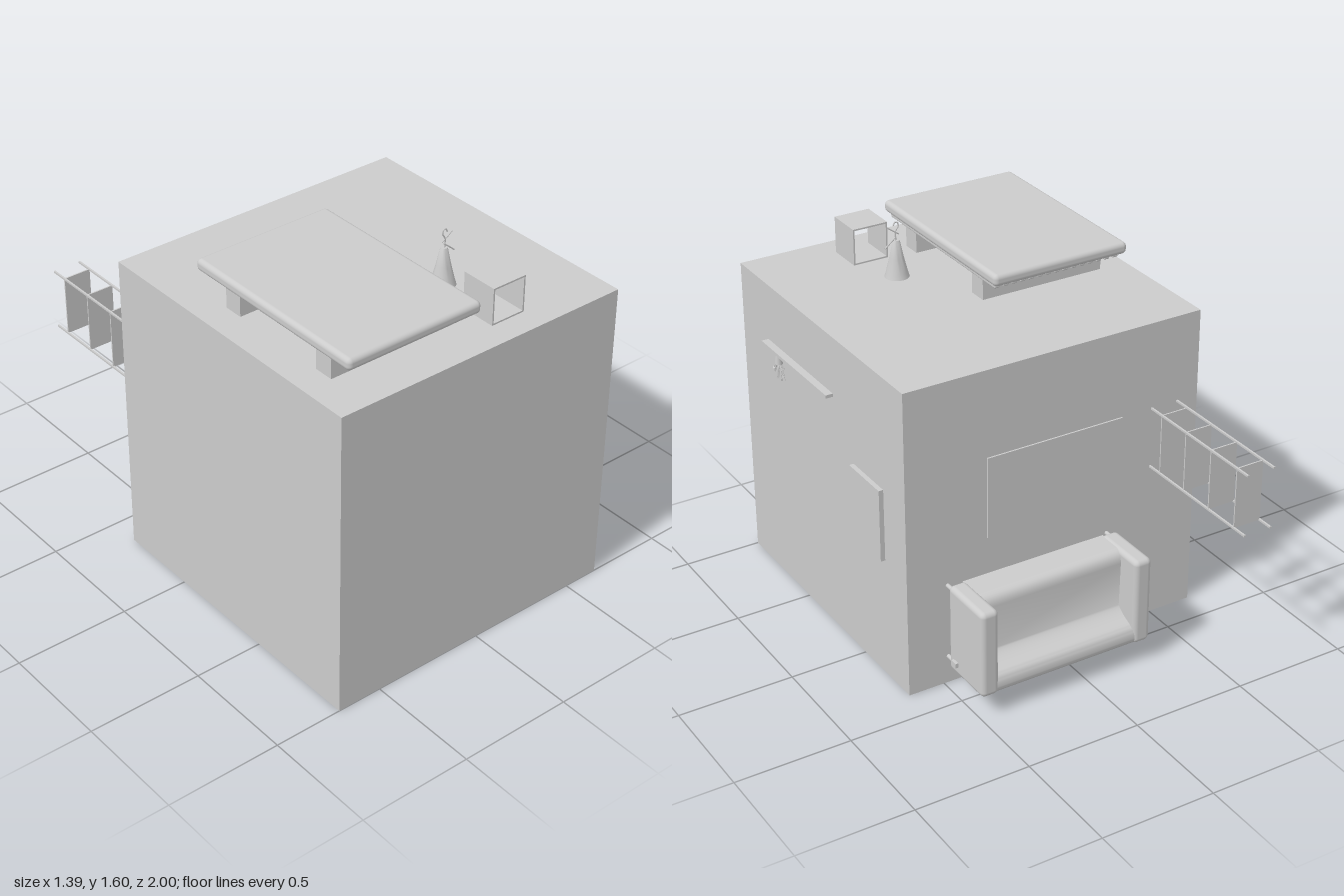
import * as THREE from 'three';
import { RoundedBoxGeometry } from 'three/addons/geometries/RoundedBoxGeometry.js';
import { toCreasedNormals } from 'three/addons/utils/BufferGeometryUtils.js';

const mat = new THREE.MeshStandardMaterial({ color: 0xcccccc });
const thin = new THREE.MeshStandardMaterial({ color: 0xcccccc, side: THREE.DoubleSide });

function add(parent, name, geo, x = 0, y = 0, z = 0, m = mat) {
  const mesh = new THREE.Mesh(geo, m);
  mesh.name = name;
  mesh.position.set(x, y, z);
  parent.add(mesh);
  return mesh;
}

// Box given by its limits on each axis
function box(parent, name, x0, x1, y0, y1, z0, z1, round = 0) {
  const size = [x1 - x0, y1 - y0, z1 - z0];
  const geo = round ? new RoundedBoxGeometry(...size, 4, round) : new THREE.BoxGeometry(...size);
  return add(parent, name, geo, (x0 + x1) / 2, (y0 + y1) / 2, (z0 + z1) / 2);
}

function group(parent, name) {
  const g = new THREE.Group();
  g.name = name;
  parent.add(g);
  return g;
}

function rectPath(Type, z0, z1, y0, y1) {
  return new Type([[-z0, y0], [-z1, y0], [-z1, y1], [-z0, y1]].map(([x, y]) => new THREE.Vector2(x, y)));
}

// Panel facing +x with a rectangular hole; limits are [z0, z1, y0, y1]
function holedPanel(parent, name, outer, hole, x, depth) {
  const shape = rectPath(THREE.Shape, ...outer);
  shape.holes.push(rectPath(THREE.Path, ...hole));
  const geo = new THREE.ExtrudeGeometry(shape, { depth, bevelEnabled: false }).rotateY(Math.PI / 2);
  return add(parent, name, geo, x, 0, 0);
}

function wire(parent, name, pts, r) {
  const curve = new THREE.CatmullRomCurve3(pts.map(p => new THREE.Vector3(...p)));
  return add(parent, name, new THREE.TubeGeometry(curve, pts.length * 5, r, 6), 0, 0, 0, thin);
}

function buildRoom(root) {
  const room = group(root, 'room');
  box(room, 'roomBlock', -0.70, 0.58, 0, 1.36, -0.36, 1);
  holedPanel(room, 'windowWall', [-0.36, 1, 0, 1.36], [0.24, 0.74, 0.34, 1.095], 0.58, 0.08);
  box(room, 'windowPelmet', 0.655, 0.692, 1.093, 1.107, 0.205, 0.77);
  holedPanel(room, 'pictureFrame', [-0.19, 0.05, 0.545, 0.865], [-0.165, 0.025, 0.57, 0.84], 0.655, 0.025);
  box(room, 'picturePanel', 0.65, 0.667, 0.56, 0.85, -0.175, 0.035);
  box(room, 'wallPanel', -0.335, 0.295, 0.62, 0.98, -0.367, -0.355);
}

function buildBed(root) {
  const bed = group(root, 'bed');
  box(bed, 'mattress', -0.612, 0.018, 1.473, 1.525, 0.03, 0.932, 0.02);
  for (const z of [0.17, 0.705]) box(bed, 'bedSupport', -0.575, -0.01, 1.36, 1.456, z, z + 0.085);
  // slats run lengthwise under the mattress
  for (let i = 0; i < 15; i++) {
    const x = -0.573 + i * 0.0401;
    box(bed, 'slat', x - 0.013, x + 0.013, 1.455, 1.476, 0.06, 0.9, 0.006);
  }
}

function buildBedside(root) {
  // open cube beside the bed
  const cube = group(root, 'openCube');
  const t = 0.007;
  for (const x of [0.112, 0.272 - t]) box(cube, 'cubeSide', x, x + t, 1.36, 1.52, 0.73, 0.89);
  for (const y of [1.36, 1.52 - t]) box(cube, 'cubeShelf', 0.112, 0.272, y, y + t, 0.73, 0.89);

  // conical stand with hook and crossed arms
  const stand = group(root, 'coneStand');
  const cone = [[0, 0], [0.052, 0], [0.046, 0.02], [0.03, 0.085], [0.016, 0.152], [0.012, 0.16], [0, 0.16]];
  const coneGeo = new THREE.LatheGeometry(cone.map(p => new THREE.Vector2(...p)), 24);
  add(stand, 'cone', toCreasedNormals(coneGeo, 0.6), 0.17, 1.36, 0.55, thin);
  wire(stand, 'hook', [[0.172, 1.51, 0.55], [0.172, 1.56, 0.55], [0.16, 1.58, 0.55],
    [0.163, 1.596, 0.55], [0.175, 1.599, 0.55], [0.183, 1.585, 0.55]], 0.003);
  wire(stand, 'upperArm', [[0.158, 1.545, 0.55], [0.18, 1.56, 0.55], [0.208, 1.58, 0.55]], 0.003);
  wire(stand, 'lowerArm', [[0.17, 1.535, 0.55], [0.195, 1.515, 0.55], [0.222, 1.492, 0.55]], 0.003);
}

function buildPlant(root) {
  const plant = group(root, 'hangingPlant');
  plant.position.set(0.676, 0, 0.65);
  add(plant, 'pot', new THREE.CylinderGeometry(0.012, 0.017, 0.045, 16), 0, 1.072, 0);
  let seed = 7;
  const rnd = () => (seed = (seed * 16807) % 2147483647) / 2147483647;
  // twigs hang in a small spray
  for (let i = 0; i < 16; i++) {
    const a = i * 2.4, r = 0.45 + 0.55 * rnd(), drop = 0.015 + 0.05 * rnd();
    const x = Math.cos(a) * 0.015 * r, z = Math.sin(a) * 0.042 * r;
    wire(plant, 'twig', [[0, 1.05, 0], [x * 0.6, 1.05 - drop * 0.3, z * 0.6], [x, 1.05 - drop, z]], 0.0018);
    const leaf = add(plant, 'leaf', new THREE.CircleGeometry(0.007, 6), x, 1.05 - drop, z, thin);
    leaf.rotation.set(rnd() * 3, rnd() * 3, 0);
  }
}

function buildShelf(root) {
  // shelf rack standing out from the back wall
  const rack = group(root, 'shelfRack');
  const t = 0.008;
  for (const x of [-0.606, -0.482]) for (const y of [0.708, 0.974]) {
    box(rack, 'rackPost', x, x + t, y, y + t, -1, -0.355);
  }
  for (const z of [-0.43, -0.594, -0.76, -0.927]) {
    box(rack, 'rackShelf', -0.602, -0.478, 0.712, 0.978, z - 0.003, z + 0.003);
  }
}

function buildSofa(root) {
  // modelled upright, then turned so its feet meet the back wall
  const sofa = group(root, 'sofa');
  sofa.position.set(0.1025, 0.295, -0.36);
  sofa.rotation.x = -Math.PI / 2;
  for (const s of [-1, 1]) {
    box(sofa, 'sofaArm', s * 0.357 - 0.04, s * 0.357 + 0.04, 0.04, 0.297, -0.195, 0.195, 0.022);
    for (const z of [-0.17, 0.165]) {
      add(sofa, 'sofaFoot', new THREE.CylinderGeometry(0.009, 0.009, 0.05, 12), s * 0.375, 0.024, z);
    }
  }
  // seat and backrest share one side profile
  const p = new THREE.Shape();
  p.moveTo(-0.19, 0.04);
  p.lineTo(0.195, 0.04);
  p.lineTo(0.195, 0.265);
  p.quadraticCurveTo(0.195, 0.292, 0.165, 0.292);
  p.quadraticCurveTo(0.125, 0.292, 0.11, 0.265);
  p.quadraticCurveTo(0.085, 0.2, 0.06, 0.185);
  p.lineTo(-0.14, 0.192);
  p.quadraticCurveTo(-0.19, 0.19, -0.19, 0.145);
  p.closePath();
  const body = new THREE.ExtrudeGeometry(p, { depth: 0.66, bevelEnabled: false, curveSegments: 8 });
  body.rotateY(Math.PI / 2).translate(-0.33, 0, 0);
  add(sofa, 'seatAndBack', toCreasedNormals(body, 0.7));
  box(sofa, 'sideLever', 0.395, 0.41, 0.08, 0.115, -0.15, -0.13);
}

export function createModel() {
  const root = new THREE.Group();
  root.name = 'roomBlockWithFurniture';
  buildRoom(root);
  buildBed(root);
  buildBedside(root);
  buildPlant(root);
  buildShelf(root);
  buildSofa(root);
  return root;
}
